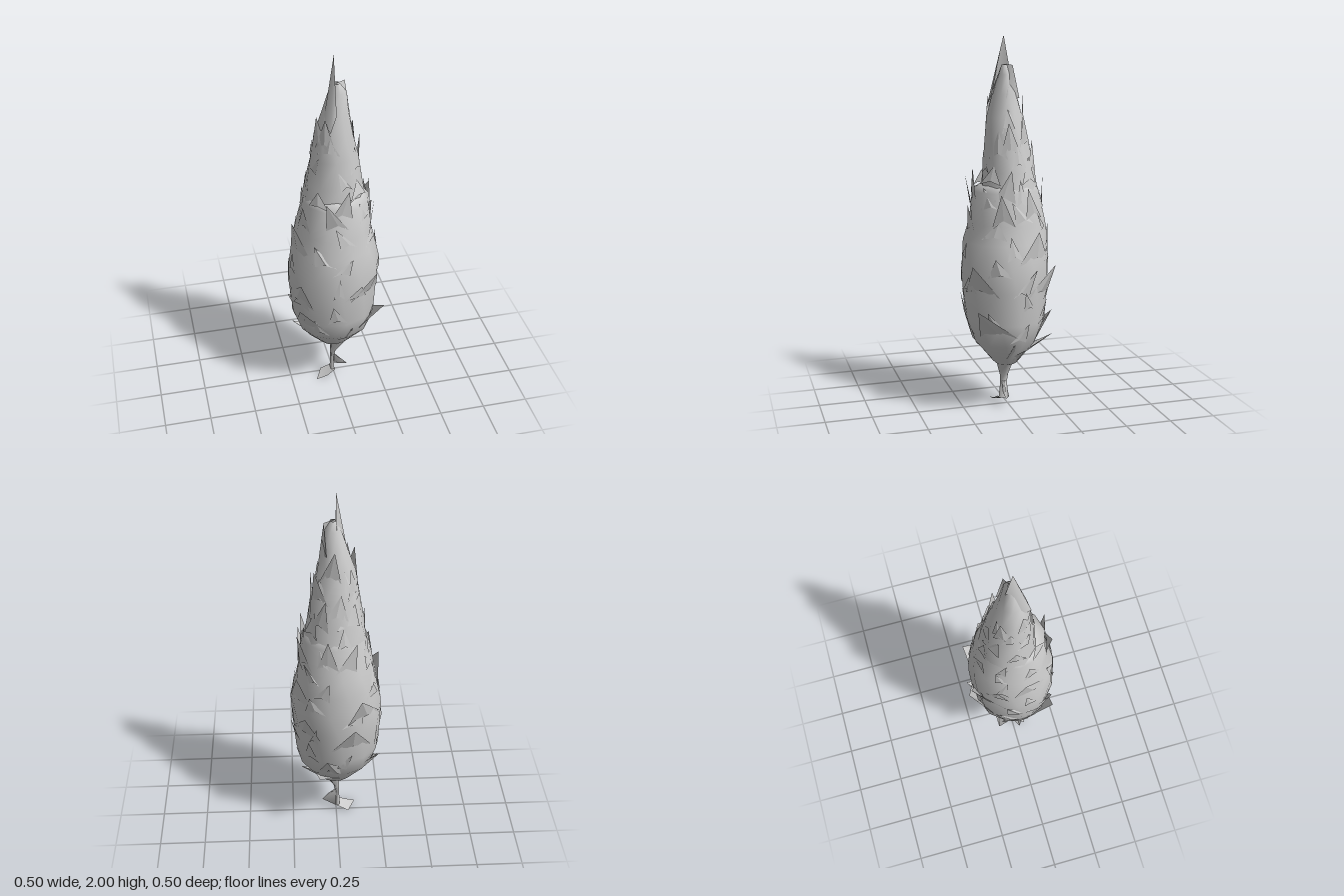
import * as THREE from 'three';

const mat = new THREE.MeshStandardMaterial({ color: 0xcccccc, side: THREE.DoubleSide });

// Crown outline as rings: height, min x, max x, min z, max z
const lowerRings = [
  [0.22, -0.02, 0.02, 0.0, 0.03],
  [0.25, -0.08, 0.09, -0.05, 0.08],
  [0.38, -0.195, 0.2, -0.155, 0.19],
  [0.5, -0.235, 0.225, -0.2, 0.23],
  [0.68, -0.25, 0.24, -0.215, 0.247],
  [0.8, -0.243, 0.25, -0.22, 0.247],
  [0.93, -0.222, 0.222, -0.215, 0.238],
  [1.03, -0.2, 0.205, -0.2, 0.207],
  [1.2, -0.165, 0.185, -0.165, 0.195],
  [1.23, -0.145, 0.155, -0.145, 0.135],
];
const upperRings = [
  [1.18, -0.168, 0.175, -0.16, 0.145],
  [1.3, -0.147, 0.152, -0.142, 0.138],
  [1.45, -0.12, 0.13, -0.11, 0.123],
  [1.58, -0.1, 0.1, -0.082, 0.11],
  [1.7, -0.06, 0.08, -0.045, 0.082],
  [1.8, -0.028, 0.066, -0.022, 0.053],
  [1.85, 0.0, 0.03, 0.0, 0.035],
];
const allRings = [...lowerRings.slice(0, -1), ...upperRings.slice(1)];

function ringPoint([y, x0, x1, z0, z1], a, scale = 1) {
  return [
    (x0 + x1) / 2 + ((x1 - x0) / 2) * Math.cos(a) * scale, y,
    (z0 + z1) / 2 + ((z1 - z0) / 2) * Math.sin(a) * scale,
  ];
}

// Interpolated ring at any height
function ringAt(y) {
  let i = 0;
  while (i < allRings.length - 2 && allRings[i + 1][0] < y) i++;
  const p = allRings[i], q = allRings[i + 1];
  const t = THREE.MathUtils.clamp((y - p[0]) / (q[0] - p[0]), 0, 1);
  return p.map((v, k) => v + (q[k] - v) * t);
}

function makeMesh(name, positions, index) {
  const geo = new THREE.BufferGeometry();
  geo.setAttribute('position', new THREE.Float32BufferAttribute(positions, 3));
  if (index) geo.setIndex(index);
  geo.computeVertexNormals();
  const mesh = new THREE.Mesh(geo, mat);
  mesh.name = name;
  return mesh;
}

// Skin a stack of rings, closed around
function loft(name, rings, sides, twist = 0) {
  const pos = [], idx = [];
  rings.forEach((r, j) => {
    for (let i = 0; i < sides; i++) {
      pos.push(...ringPoint(r, (i / sides) * Math.PI * 2 + j * twist));
      if (j === rings.length - 1) continue;
      const a = j * sides + i, b = j * sides + ((i + 1) % sides);
      idx.push(a, a + sides, b, b, a + sides, b + sides);
    }
  });
  return makeMesh(name, pos, idx);
}

// Folded leaf: two triangles that wrap the crown below a free tip
function leaf(tip, height, width, skew = 0) {
  const base = ringAt(tip[1] - height);
  const a = Math.atan2(tip[2] - 0.015, tip[0]) + skew;
  const da = width / (base[2] - base[1]);
  const left = ringPoint(base, a + da);
  const right = ringPoint(base, a - da);
  const keel = ringPoint(ringAt(tip[1] - height * 0.8), a, 1.01);
  return [...left, ...tip, ...keel, ...keel, ...tip, ...right];
}

function seeded(seed) {
  return () => (seed = (seed * 16807) % 2147483647) / 2147483647;
}

export function createModel() {
  const group = new THREE.Group();
  group.name = 'cypressTree';

  // Crown: full lower body and slim upper cone
  group.add(loft('lowerCrown', lowerRings, 12, 0.13));
  group.add(loft('upperCrown', upperRings, 9, 0.15));

  // Large leaves that break the outline: tip x, y, z
  const tips = [
    [0.2, 0.36, -0.04], [-0.235, 0.4, 0.0], [0.1, 0.41, -0.225], [0.235, 0.6, 0.225],
    [-0.225, 0.61, 0.195], [-0.215, 0.77, 0.185], [0.06, 0.53, -0.232], [-0.09, 0.75, -0.25],
    [0.175, 0.81, -0.215], [-0.125, 0.93, -0.24], [0.185, 0.83, 0.24], [-0.235, 0.5, -0.12],
    [-0.228, 1.07, 0.03], [0.215, 1.0, -0.11], [0.185, 1.32, 0.03], [0.208, 1.23, -0.05],
    [0.2, 1.2, 0.09], [0.04, 1.33, 0.2], [-0.08, 1.27, 0.21], [0.05, 1.26, -0.178],
    [-0.1, 1.24, -0.165], [0.115, 1.6, -0.05], [0.13, 1.56, 0.03], [0.06, 1.46, -0.115],
    [-0.095, 1.69, 0.045], [-0.06, 1.69, 0.09], [0.01, 1.72, -0.083], [-0.07, 1.62, -0.06],
  ];
  const big = tips.flatMap((t, i) =>
    leaf(t, t[1] < 0.45 ? 0.11 : 0.17, t[1] > 1.1 ? 0.12 : 0.24, (i % 3 - 1) * 0.25));
  group.add(makeMesh('largeLeaves', big));

  // Ragged leaves scattered in a spiral, close to the crown
  const rnd = seeded(71);
  const small = [];
  for (let i = 0; i < 56; i++) {
    const y = 0.4 + 1.25 * (i / 56);
    const tip = ringPoint(ringAt(y), i * 2.4 + rnd() * 0.6, 1.01 + rnd() * 0.06);
    small.push(...leaf(tip, 0.08 + rnd() * 0.07, 0.05 + rnd() * 0.1, (rnd() - 0.5) * 0.7));
  }
  group.add(makeMesh('smallLeaves', small));

  // Crown top: a tall folded blade and a shorter square-ended leaf
  group.add(makeMesh('topBlade', [
    -0.06, 1.66, 0.05, -0.035, 1.62, 0.105, 0.0, 1.7, 0.085,
    0.0, 1.76, -0.025, 0.0, 2, 0.02,
  ], [0, 1, 4, 1, 2, 4, 3, 0, 4]));
  group.add(makeMesh('topLeaf', [
    -0.01, 1.7, 0.085, 0.08, 1.68, 0.03, 0.062, 1.85, -0.01, 0.0, 1.85, 0.03,
    0.05, 1.68, -0.05,
  ], [0, 1, 2, 0, 2, 3, 1, 4, 2]));

  // Trunk: thin stem widening into the crown
  group.add(loft('trunk', [
    [0.03, -0.022, 0.003, -0.01, 0.05],
    [0.12, -0.02, 0.002, 0.0, 0.04],
    [0.17, -0.02, 0.015, -0.005, 0.045],
    [0.25, -0.03, 0.085, -0.02, 0.075],
  ], 5));

  // Roots: flat flaps spreading from the stem
  group.add(makeMesh('leftRoot', [
    0.0, 0.13, 0.01, 0.0, 0.13, 0.03, 0.045, 0.085, 0.04,
    0.078, 0.05, 0.03, 0.0, 0.035, -0.01,
  ], [0, 1, 2, 0, 2, 3, 0, 3, 4, 1, 4, 2, 2, 4, 3]));
  group.add(makeMesh('rightRoot', [
    0.0, 0.035, -0.01, 0.0, 0.045, 0.06, -0.05, 0.014, 0.07,
    -0.11, 0.0, 0.07, -0.07, 0.0, -0.02,
  ], [0, 2, 1, 0, 4, 2, 2, 4, 3]));

  return group;
}
